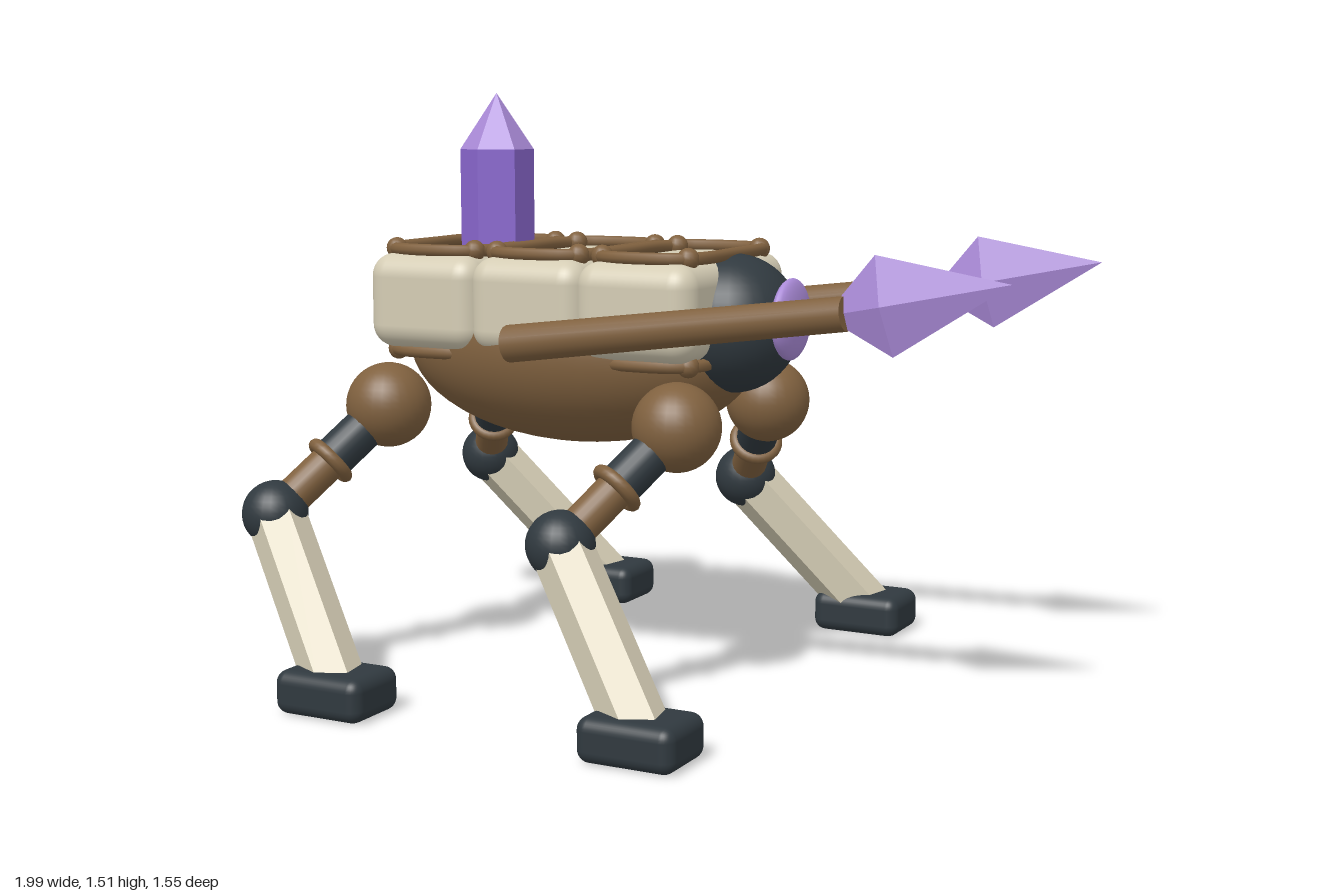
import * as THREE from 'three';
import { RoundedBoxGeometry } from 'three/addons/geometries/RoundedBoxGeometry.js';

const V = (x, y, z) => new THREE.Vector3(x, y, z);

function material(name, color, flatShading = false) {
  const m = new THREE.MeshStandardMaterial({ color, flatShading });
  m.name = name;
  return m;
}

export function createModel() {
  const cream = material('cream plating', 0xd4ccb4);
  const creamFlat = material('cream faceted', 0xd4ccb4, true);
  const brown = material('brown wood', 0x80613f);
  const brownFlat = material('brown inlay', 0x80613f, true);
  const dark = material('dark slate', 0x30393f);
  const violet = material('violet crystal', 0x8a67cf, true);
  const lilac = material('lilac crystal', 0xab8bd9, true);
  const lilacSmooth = material('lilac eye', 0xab8bd9);

  const model = new THREE.Group();
  model.name = 'fourLeggedWalker';

  function add(parent, name, geometry, mat, pos = V(0, 0, 0)) {
    const mesh = new THREE.Mesh(geometry, mat);
    mesh.name = name;
    mesh.position.copy(pos);
    parent.add(mesh);
    return mesh;
  }

  // Lay a mesh whose axis is local y along a direction
  function aim(mesh, dir) {
    mesh.quaternion.setFromUnitVectors(V(0, 1, 0), dir.clone().normalize());
    return mesh;
  }

  function rod(parent, name, a, b, ra, rb, sides, mat) {
    const dir = b.clone().sub(a);
    const geometry = new THREE.CylinderGeometry(rb, ra, dir.length(), sides);
    return aim(add(parent, name, geometry, mat, a.clone().lerp(b, 0.5)), dir);
  }

  // Belly
  const belly = add(model, 'belly', new THREE.SphereGeometry(1, 40, 28), brown, V(-0.3, 0.854, 0));
  belly.scale.set(0.5, 0.251, 0.29);

  // Three back segments with rope borders, knots and inlaid diamonds
  const ropeCurve = new THREE.CatmullRomCurve3([
    V(0.12, 0, 0.215), V(0.142, 0, 0), V(0.12, 0, -0.215), V(0, 0, -0.248),
    V(-0.12, 0, -0.215), V(-0.142, 0, 0), V(-0.12, 0, 0.215), V(0, 0, 0.248),
  ], true);
  const ropeGeometry = new THREE.TubeGeometry(ropeCurve, 64, 0.016, 8, true);
  for (const x of [-0.613, -0.305, 0.003]) {
    const segment = new THREE.Group();
    segment.name = 'backSegment';
    segment.position.x = x;
    model.add(segment);
    add(segment, 'plating', new RoundedBoxGeometry(0.33, 0.245, 0.59, 5, 0.06), cream, V(0, 0.977, 0));
    for (const y of [1.11, 0.845]) {
      add(segment, 'rope', ropeGeometry, brown, V(0, y, 0));
      for (const sx of [-1, 1]) for (const sz of [-1, 1]) {
        add(segment, 'knot', new THREE.SphereGeometry(0.028, 14, 10), brown, V(sx * 0.12, y, sz * 0.205));
      }
    }
    add(segment, 'diamondInlay', new THREE.OctahedronGeometry(1), brownFlat, V(0, 1.099, 0))
      .scale.set(0.065, 0.009, 0.122);
  }

  // Head and eye
  add(model, 'head', new THREE.SphereGeometry(0.177, 32, 24), dark, V(0.143, 0.935, 0));
  add(model, 'eye', new THREE.SphereGeometry(0.103, 28, 20), lilacSmooth, V(0.307, 0.952, 0))
    .scale.x = 0.3;

  // Back crystal
  add(model, 'crystalShaft', new THREE.CylinderGeometry(0.097, 0.097, 0.315, 6), violet, V(-0.55, 1.2075, 0));
  add(model, 'crystalTip', new THREE.ConeGeometry(0.097, 0.147, 6, 1, true), lilac, V(-0.55, 1.4385, 0));

  // Flat blade with four sides
  const bladeGeometry = new THREE.LatheGeometry([
    new THREE.Vector2(0, 0), new THREE.Vector2(0.04, 0),
    new THREE.Vector2(0.118, 0.098), new THREE.Vector2(0, 0.405),
  ], 4);
  bladeGeometry.scale(1, 1, 0.27);
  bladeGeometry.rotateZ(-Math.PI / 2);

  function spear(side) {
    const group = new THREE.Group();
    group.name = side > 0 ? 'rightHandSpear' : 'leftHandSpear';
    model.add(group);
    const z = side * 0.352;
    rod(group, 'spearShaft', V(-0.302, 0.895, z), V(0.6, 1.012, z), 0.047, 0.041, 16, brown);
    add(group, 'spearBlade', bladeGeometry, lilac, V(0.597, 1.014, z)).rotation.z = 0.2;
  }

  function leg(x, side) {
    const group = new THREE.Group();
    group.name = 'leg';
    model.add(group);
    const hip = V(x, 0.703, side * 0.265);
    const knee = V(x - 0.183, 0.441, side * 0.517);
    const foot = V(x + 0.12, 0.06, side * 0.68);
    const at = (t) => hip.clone().lerp(knee, t);
    add(group, 'hip', new THREE.SphereGeometry(0.111, 28, 20), brown, hip);
    rod(group, 'upperLegSleeve', hip, at(0.5), 0.055, 0.055, 20, dark);
    rod(group, 'upperLeg', at(0.48), knee, 0.048, 0.048, 20, brown);
    const ring = new THREE.TorusGeometry(0.056, 0.017, 10, 28).rotateX(Math.PI / 2);
    aim(add(group, 'legRing', ring, brown, at(0.52)), knee.clone().sub(hip));
    add(group, 'knee', new THREE.SphereGeometry(0.085, 24, 18), dark, knee);
    rod(group, 'lowerLeg', knee, foot, 0.076, 0.076, 6, creamFlat);
    add(group, 'foot', new RoundedBoxGeometry(0.252, 0.11, 0.19, 4, 0.032), dark, V(foot.x, 0.055, foot.z));
  }

  for (const side of [-1, 1]) {
    spear(side);
    for (const x of [-0.727, 0.122]) leg(x, side);
  }
  return model;
}
